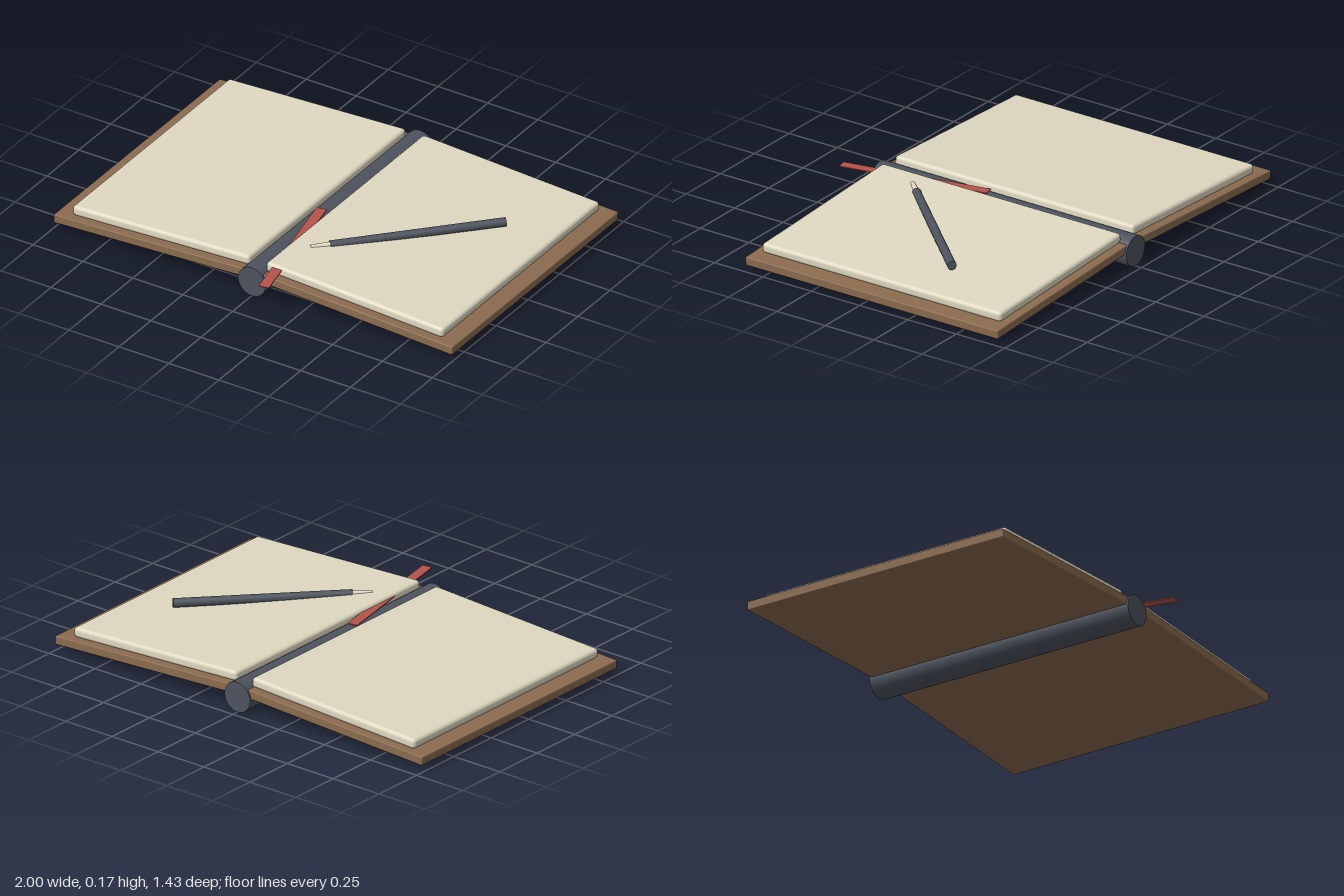
import * as THREE from 'three';
import { RoundedBoxGeometry } from 'three/addons/geometries/RoundedBoxGeometry.js';

const mat = (name, color) => {
  const m = new THREE.MeshStandardMaterial({ color });
  m.name = name;
  return m;
};

export function createModel() {
  const book = new THREE.Group();
  book.name = 'openNotebook';
  const leather = mat('brown leather', 0x8b6b4f);
  const paper = mat('cream paper', 0xdfd8c1);
  const slate = mat('slate', 0x4d535e);
  const red = mat('ribbon red', 0xb5544c);

  const add = (parent, name, geometry, material, x, y, z) => {
    const mesh = new THREE.Mesh(geometry, material);
    mesh.name = name;
    mesh.position.set(x, y, z);
    parent.add(mesh);
    return mesh;
  };

  // Covers and page blocks, sloping down from the spine
  const midZ = -0.06;
  const slope = 0.048;
  for (const [side, s] of [['left', 1], ['right', -1]]) {
    const cover = add(book, side + 'Cover', new RoundedBoxGeometry(0.98, 0.04, 1.305, 2, 0.005),
      leather, s * 0.509, 0.0725, midZ);
    cover.rotation.z = -s * slope;
    const pages = add(book, side + 'Pages', new RoundedBoxGeometry(0.888, 0.046, 1.235, 4, 0.016),
      paper, s * 0.485, 0.114, midZ);
    pages.rotation.z = -s * slope;
  }

  // Round spine
  const spine = new THREE.CylinderGeometry(0.069, 0.069, 1.32, 32).rotateX(Math.PI / 2);
  add(book, 'spine', spine, slate, 0, 0.069, midZ);

  // Ribbon bookmark, slipping under the left page block
  const ribbon = add(book, 'ribbonBookmark', new THREE.BoxGeometry(0.046, 0.004, 0.68),
    red, 0.0625, 0.142, 0.377);
  ribbon.rotation.y = 0.2;

  // Pen lying diagonally; its local +z points to the tip
  const pen = new THREE.Group();
  pen.name = 'pen';
  pen.position.set(0.45, 0.15, 0.003);
  pen.rotation.y = Math.atan2(-0.525, 0.555);
  book.add(pen);
  const rod = (front, back, length) =>
    new THREE.CylinderGeometry(front, back, length, 16).rotateX(Math.PI / 2);
  add(pen, 'penBody', rod(0.018, 0.02, 0.765), slate, 0, 0, 0);
  add(pen, 'penTip', rod(0.01, 0.013, 0.085), paper, 0, 0, 0.424);

  return book;
}
